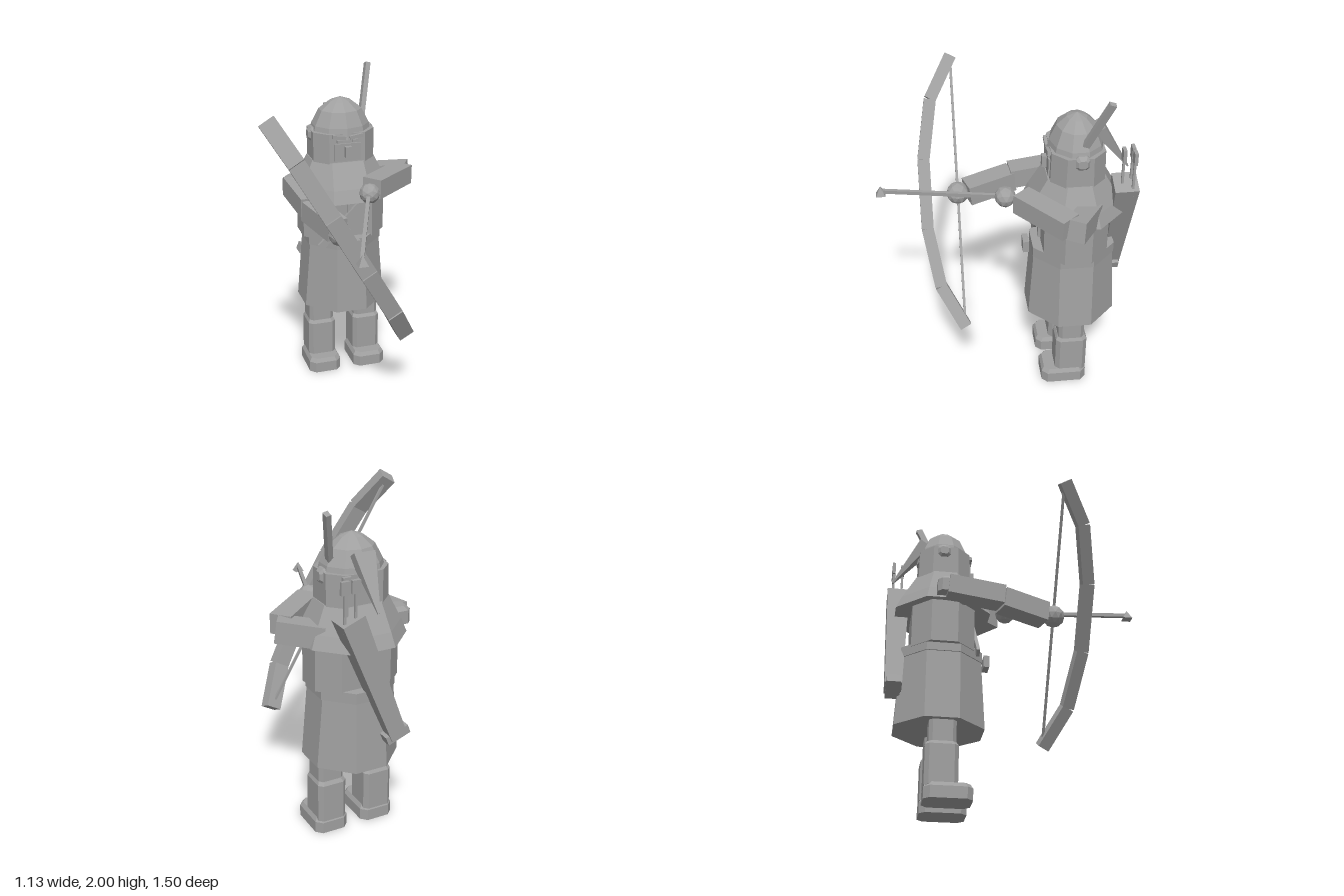
import * as THREE from 'three';

const V = (x, y, z) => new THREE.Vector3(x, y, z);
const stone = new THREE.MeshStandardMaterial({ color: 0xa0a0a0, flatShading: true });
stone.name = 'stone grey';

// Stacked eight-cornered sections; each ring is [y, halfWidth, halfDepth, chamfer]
function loft(rings) {
  const pos = [], idx = [];
  for (const [y, w, d, c] of rings) {
    for (const [x, z] of [[w, d - c], [w - c, d], [c - w, d], [-w, d - c],
      [-w, c - d], [c - w, -d], [w - c, -d], [w, c - d]]) pos.push(x, y, z);
  }
  for (let r = 0; r < rings.length - 1; r++) {
    for (let i = 0; i < 8; i++) {
      const a = r * 8 + i, b = r * 8 + (i + 1) % 8;
      idx.push(a, b + 8, b, a, a + 8, b + 8);
    }
  }
  const top = (rings.length - 1) * 8;
  for (let i = 1; i < 7; i++) {
    idx.push(0, i, i + 1, top, top + i + 1, top + i);
  }
  // ring order runs clockwise seen from above, so flip to face outward
  const g = new THREE.BufferGeometry();
  g.setAttribute('position', new THREE.Float32BufferAttribute(pos, 3));
  g.setIndex(idx);
  const flat = g.toNonIndexed();
  flat.computeVertexNormals();
  return flat;
}

export function createModel() {
  const model = new THREE.Group();
  model.name = 'archer';

  const add = (name, geo, x = 0, y = 0, z = 0, parent = model) => {
    const m = new THREE.Mesh(geo, stone);
    m.name = name;
    m.position.set(x, y, z);
    parent.add(m);
    return m;
  };
  const box = (name, w, h, d, x, y, z, parent) => add(name, new THREE.BoxGeometry(w, h, d), x, y, z, parent);

  // Bar from a to b: t is its size along 'up', w across; taper scales the far end
  const beam = (name, a, b, w, t, up = V(0, 1, 0), taper = 1) => {
    const dir = b.clone().sub(a), len = dir.length();
    dir.normalize();
    const xa = up.clone().cross(dir).normalize();
    const ya = dir.clone().cross(xa);
    const g = new THREE.BoxGeometry(w, t, len), p = g.attributes.position;
    for (let i = 0; i < p.count; i++) {
      if (p.getZ(i) > 0) p.setXY(i, p.getX(i) * taper, p.getY(i) * taper);
    }
    const m = add(name, g);
    m.quaternion.setFromRotationMatrix(new THREE.Matrix4().makeBasis(xa, ya, dir));
    m.position.copy(a).add(b).multiplyScalar(0.5);
    return m;
  };

  // Body parts share one centre line
  const body = new THREE.Group();
  body.name = 'body';
  body.position.set(0.1, 0, -0.405);
  model.add(body);
  const part = (name, rings, x = 0, y = 0, z = 0) => add(name, loft(rings), x, y, z, body);

  // Legs and boots
  for (const s of [-1, 1]) {
    const x = s * 0.152;
    part('boot', [[0, 0.105, 0.14, 0.035], [0.07, 0.105, 0.14, 0.035], [0.095, 0.09, 0.125, 0.03]], x, 0, 0.05);
    part('shin', [[0.08, 0.09, 0.097, 0.025], [0.32, 0.09, 0.097, 0.025], [0.34, 0.08, 0.085, 0.025]], x, 0, 0.008);
    part('thigh', [[0.32, 0.08, 0.08, 0.022], [0.6, 0.08, 0.08, 0.022]], x, 0, 0.01);
  }

  // Coat, belt and torso
  part('coatSkirt', [[0.47, 0.265, 0.267, 0.165], [0.93, 0.228, 0.24, 0.14]]);
  part('belt', [[0.9, 0.238, 0.246, 0.145], [0.965, 0.238, 0.246, 0.145]]);
  part('torso', [[0.95, 0.265, 0.19, 0.11], [1.26, 0.265, 0.19, 0.11]]);
  box('beltBuckle', 0.09, 0.075, 0.035, 0.1, 0.935, -0.124);
  box('coatPlacket', 0.025, 0.24, 0.02, 0.1, 1.1, -0.208);
  beam('chestStrap', V(-0.09, 0.92, -0.195), V(0.23, 1.24, -0.195), 0.02, 0.045);
  part('shoulderCape', [[1.22, 0.3, 0.29, 0.176], [1.3, 0.27, 0.255, 0.155], [1.45, 0.2, 0.17, 0.1]]);

  // Head, face and helmet
  part('coif', [[1.42, 0.195, 0.16, 0.08], [1.63, 0.195, 0.155, 0.08]]);
  box('mask', 0.17, 0.11, 0.02, 0, 1.515, 0.157, body);
  box('nose', 0.04, 0.07, 0.04, 0, 1.52, 0.175, body);
  for (const s of [-1, 1]) {
    box('eye', 0.035, 0.016, 0.012, s * 0.05, 1.585, 0.162, body);
    const brow = box('brow', 0.085, 0.022, 0.03, s * 0.055, 1.612, 0.16, body);
    brow.rotation.z = s * 0.15;
    const ear = part('earGuard', [[-0.03, 0.045, 0.045, 0.02], [0.01, 0.045, 0.045, 0.02], [0.03, 0.025, 0.025, 0.01]], s * 0.18, 1.6, -0.01);
    ear.rotation.z = -s * Math.PI / 2;
  }
  const dome = [[0, 1.59], [0.198, 1.59], [0.182, 1.66], [0.135, 1.75], [0.07, 1.8], [0, 1.825]];
  const helmet = add('helmet', new THREE.LatheGeometry(dome.map(p => new THREE.Vector2(...p)), 10), 0, 0, 0, body);
  helmet.scale.z = 0.86;
  beam('helmetTail', V(0.1, 1.73, -0.53), V(0.1, 1.45, -0.72), 0.13, 0.07, V(0, 0, 1), 0.12);
  beam('feather', V(0.25, 1.69, -0.435), V(0.325, 1.985, -0.555), 0.03, 0.04, V(0, 0, 1));

  // Bow arm, on the model's right
  const pauldron = [[-0.05, 0.07, 0.06, 0.025], [0.03, 0.07, 0.06, 0.025], [0.055, 0.045, 0.04, 0.02]];
  add('shoulder', loft(pauldron), -0.2, 1.285, -0.4);
  beam('upperBowArm', V(-0.213, 1.28, -0.4), V(-0.185, 1.25, -0.06), 0.13, 0.12);
  beam('lowerBowArm', V(-0.185, 1.235, -0.07), V(-0.1, 1.2, 0.21), 0.13, 0.125);
  add('bowHand', new THREE.IcosahedronGeometry(0.069, 1), -0.102, 1.195, 0.265);

  // Drawing arm, on the model's left
  beam('upperDrawArm', V(0.3, 1.275, -0.48), V(0.53, 1.31, -0.345), 0.12, 0.13);
  beam('lowerDrawArm', V(0.495, 1.315, -0.325), V(0.205, 1.325, -0.08), 0.13, 0.12);
  add('drawHand', new THREE.IcosahedronGeometry(0.063, 1), 0.163, 1.325, 0.005);

  // Bow, string and nocked arrow
  const bow = [[-0.515, 1.905, 0.265], [-0.385, 1.69, 0.4], [-0.205, 1.38, 0.46],
    [0.005, 1.02, 0.46], [0.185, 0.715, 0.4], [0.31, 0.49, 0.265]].map(p => V(...p));
  const acrossBow = V(0.86, 0.5, 0);
  for (let i = 0; i < 5; i++) beam('bowLimb', bow[i], bow[i + 1], 0.072, 0.1, acrossBow);
  beam('bowString', V(-0.5, 1.88, 0.265), V(0.3, 0.51, 0.265), 0.015, 0.015, acrossBow);
  beam('arrowShaft', V(0.16, 1.325, 0), V(-0.115, 1.23, 0.72), 0.022, 0.022);
  const tip = add('arrowHead', new THREE.ConeGeometry(0.04, 0.06, 4), -0.115, 1.235, 0.728);
  tip.rotation.y = Math.PI / 4;

  // Quiver slung across the back, with spare arrows
  const quiverUp = V(0, 0, 1);
  beam('quiver', V(0.26, 1.44, -0.675), V(-0.04, 0.68, -0.688), 0.14, 0.14, quiverUp, 0.72);
  beam('quiverCap', V(-0.027, 0.715, -0.688), V(-0.046, 0.665, -0.688), 0.15, 0.085, quiverUp);
  for (const [x, z] of [[0.26, -0.655], [0.3, -0.71], [0.235, -0.71]]) {
    box('spareShaft', 0.014, 0.26, 0.014, x, 1.5, z);
    box('fletching', 0.05, 0.075, 0.02, x, 1.625, z);
  }

  return model;
}
